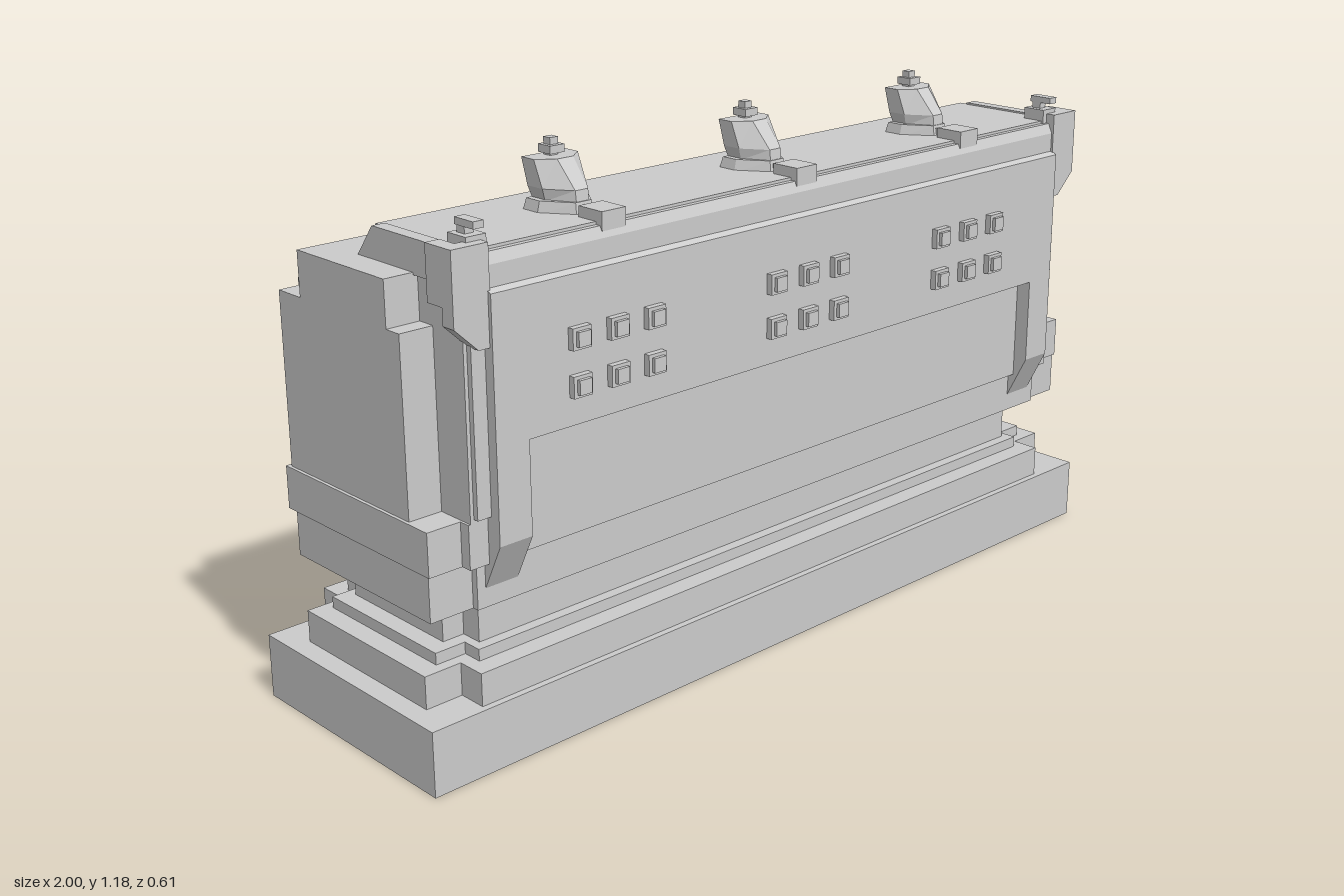
import * as THREE from 'three';

const material = new THREE.MeshStandardMaterial({ color: 0xcccccc, flatShading: true, side: THREE.DoubleSide });

function add(parent, name, geometry, x = 0, y = 0, z = 0) {
  const mesh = new THREE.Mesh(geometry, material);
  mesh.name = name;
  mesh.position.set(x, y, z);
  parent.add(mesh);
  return mesh;
}

// Box given by its limits on each axis
function block(parent, name, x0, x1, y0, y1, z0, z1) {
  return add(parent, name, new THREE.BoxGeometry(x1 - x0, y1 - y0, z1 - z0),
    (x0 + x1) / 2, (y0 + y1) / 2, (z0 + z1) / 2);
}

// Side profile of [z, y] points, swept along x
function sweepX(parent, name, profile, x0, x1) {
  const shape = new THREE.Shape(profile.map(([z, y]) => new THREE.Vector2(z, y)));
  const geometry = new THREE.ExtrudeGeometry(shape, { depth: x1 - x0, bevelEnabled: false });
  geometry.rotateY(-Math.PI / 2);
  return add(parent, name, geometry, x1);
}

// Closed rings of equal length joined into a skin
function loft(rings) {
  const pos = [];
  const tri = (a, b, c) => {
    const area = new THREE.Triangle(a, b, c).getArea();
    if (area > 1e-8) for (const p of [a, b, c]) pos.push(p.x, p.y, p.z);
  };
  for (let r = 0; r < rings.length - 1; r++) {
    const low = rings[r], up = rings[r + 1], n = low.length;
    for (let i = 0; i < n; i++) {
      const j = (i + 1) % n;
      tri(low[i], low[j], up[j]);
      tri(low[i], up[j], up[i]);
    }
  }
  const geometry = new THREE.BufferGeometry();
  geometry.setAttribute('position', new THREE.Float32BufferAttribute(pos, 3));
  geometry.computeVertexNormals();
  return geometry;
}

// Footprint with notched corners: long core (hx, zf, zb) and wider ends (wx, ef, eb)
function notchedRing(y, [hx, zf, zb, wx, ef, eb]) {
  const half = [[hx, zf], [hx, ef], [wx, ef], [wx, eb], [hx, eb], [hx, zb]];
  const other = half.map(([x, z]) => [-x, z]).reverse();
  return [...half, ...other].map(([x, z]) => new THREE.Vector3(x, y, z));
}

// Lamp footprint: broad back, pointed front
function lampRing(y, w, zBack, zMid, zFront, tip) {
  return [[tip, zFront], [w, zMid], [w, zBack], [-w, zBack], [-w, zMid], [-tip, zFront]]
    .map(([x, z]) => new THREE.Vector3(x, y, z));
}

function tieredBody(parent) {
  const tiers = [
    ['base', 0, 0.14, [1, 0.265, -0.305, 1, 0.265, -0.305]],
    ['plinth', 0.14, 0.21, [0.87, 0.25, -0.29, 0.955, 0.185, -0.22]],
    ['step', 0.21, 0.235, [0.84, 0.205, -0.245, 0.91, 0.16, -0.195]],
    ['neck', 0.235, 0.335, [0.82, 0.18, -0.22, 0.87, 0.13, -0.17]],
    ['lowerCollar', 0.335, 0.43, [0.86, 0.235, -0.27, 0.96, 0.22, -0.225]],
    ['upperCollar', 0.43, 0.522, [0.885, 0.25, -0.295, 0.962, 0.225, -0.25]],
    ['mainBody', 0.522, 0.89, [0.88, 0.25, -0.29, 0.955, 0.16, -0.24]],
    ['upperBody', 0.89, 0.985, [0.88, 0.25, -0.165, 0.955, 0.12, -0.165]],
  ];
  tiers.forEach(([name, y0, y1, plan], i) => {
    // each tier carries the ledge leading to the next one
    const next = i < tiers.length - 1 ? tiers[i + 1][3] : [0, 0, 0, 0, 0, 0];
    add(parent, name, loft([notchedRing(y0, plan), notchedRing(y1, plan), notchedRing(y1, next)]));
  });
}

function lamp(x) {
  const group = new THREE.Group();
  group.name = 'topLamp';
  group.position.x = x;
  const zero = (y) => lampRing(y, 0, 0.1, 0.1, 0.1, 0);
  add(group, 'lampBase', loft([
    lampRing(1.04, 0.067, 0.075, 0.12, 0.185, 0.022),
    lampRing(1.068, 0.06, 0.08, 0.12, 0.18, 0.02), zero(1.068)]));
  add(group, 'lampHousing', loft([
    lampRing(1.065, 0.046, 0.082, 0.12, 0.178, 0.016),
    lampRing(1.09, 0.052, 0.075, 0.12, 0.175, 0.016),
    lampRing(1.145, 0.055, 0.062, 0.1, 0.128, 0.02), zero(1.145)]));
  block(group, 'lampKnobStem', -0.01, 0.01, 1.14, 1.18, 0.075, 0.095);
  block(group, 'lampKnob', -0.018, 0.018, 1.15, 1.166, 0.068, 0.105);
  block(group, 'lampArm', -0.013, 0.013, 1.04, 1.062, 0.17, 0.22);
  block(group, 'lampBracket', -0.03, 0.03, 1.03, 1.068, 0.2, 0.268);
  return group;
}

export function createModel() {
  const model = new THREE.Group();
  model.name = 'memorialBlock';
  tieredBody(model);

  // Roof cap with sloping back
  sweepX(model, 'roofCap', [[0.25, 0.98], [0.25, 1.046], [-0.028, 1.046], [-0.087, 0.98]], -0.865, 0.865);

  // Front panel with bevelled top strip
  sweepX(model, 'frontPanel', [[0.24, 0.67], [0.285, 0.67], [0.285, 0.968], [0.272, 0.975],
    [0.272, 1.018], [0.262, 1.04], [0.24, 1.04]], -0.84, 0.84);

  for (const s of [-1, 1]) {
    const span = (a, b) => (s > 0 ? [a, b] : [-b, -a]);

    // Panel leg, chamfered at the foot
    sweepX(model, 'panelLeg', [[0.23, 0.375], [0.235, 0.375], [0.285, 0.475],
      [0.285, 0.67], [0.23, 0.67]], ...span(0.762, 0.84));
    // Narrow trim running beside the panel
    sweepX(model, 'panelTrim', [[0.24, 0.53], [0.262, 0.53], [0.262, 0.9], [0.24, 0.9]], ...span(0.84, 0.872));
    // End rail along the cap
    sweepX(model, 'roofRail', [[0.25, 0.98], [0.25, 1.05], [-0.005, 1.05], [-0.06, 0.98]], ...span(0.86, 0.89));

    // Corner plate tapering below
    const plate = new THREE.Shape([[0.835, 0.865], [0.865, 0.865], [0.918, 0.915], [0.918, 1.062], [0.835, 1.062]]
      .map(([x, y]) => new THREE.Vector2(s * x, y)));
    add(model, 'cornerPlate', new THREE.ExtrudeGeometry(plate, { depth: 0.033, bevelEnabled: false }), 0, 0, 0.244);
    block(model, 'cornerReturn', ...span(0.885, 0.918), 0.95, 1.062, 0.2, 0.25);

    // Corner clip
    block(model, 'clipFoot', ...span(0.822, 0.868), 1.04, 1.072, 0.2, 0.255);
    block(model, 'clipStem', ...span(0.835, 0.855), 1.07, 1.09, 0.212, 0.235);
    block(model, 'clipHead', ...span(0.833, 0.857), 1.086, 1.1, 0.208, 0.264);
  }

  // Three lamps on the roof
  for (const x of [-0.53, 0, 0.53]) model.add(lamp(x));

  // Three groups of square studs, two rows of three
  for (const centre of [-0.545, -0.015, 0.51]) {
    for (const dx of [-0.095, 0, 0.095]) {
      for (const y of [0.845, 0.75]) {
        block(model, 'studFrame', centre + dx - 0.023, centre + dx + 0.023, y - 0.022, y + 0.022, 0.28, 0.299);
        block(model, 'stud', centre + dx - 0.015, centre + dx + 0.015, y - 0.015, y + 0.015, 0.295, 0.307);
      }
    }
  }
  return model;
}
